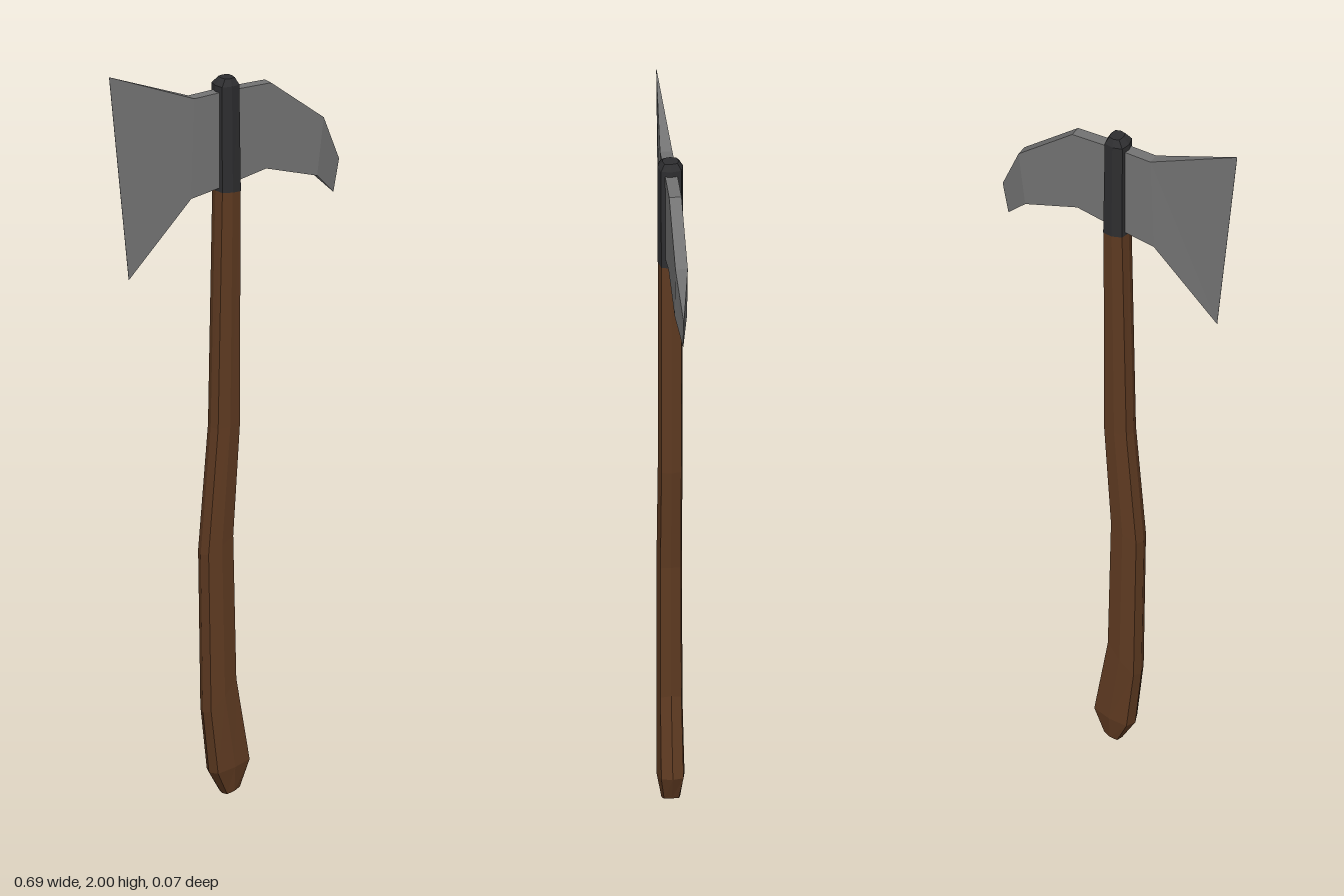
import * as THREE from 'three';

// Skin a row of cross-section rings (counter-clockwise about the travel direction) and cap both ends.
function loft(rings) {
  const pos = [];
  const tri = (a, b, c) => pos.push(...a, ...b, ...c);
  const n = rings[0].length;
  for (let i = 0; i < rings.length - 1; i++) {
    for (let j = 0; j < n; j++) {
      const k = (j + 1) % n;
      const [a, b, c, d] = [rings[i][j], rings[i][k], rings[i + 1][k], rings[i + 1][j]];
      tri(a, b, c);
      tri(a, c, d);
    }
  }
  const first = rings[0], last = rings[rings.length - 1];
  for (let j = 1; j < n - 1; j++) {
    tri(first[0], first[j + 1], first[j]);
    tri(last[0], last[j], last[j + 1]);
  }
  const geometry = new THREE.BufferGeometry();
  geometry.setAttribute('position', new THREE.Float32BufferAttribute(pos, 3));
  geometry.computeVertexNormals();
  return geometry;
}

// Eight-sided section between a left and a right point, with half depth d.
function shaftRing([xl, yl, xr, yr, d]) {
  const outline = [[0, 1], [0.82, 0.8], [1, 0], [0.82, -0.8], [0, -1], [-0.82, -0.8], [-1, 0], [-0.82, 0.8]];
  return outline.map(([u, w]) => {
    const t = (u + 1) / 2;
    return [xl + (xr - xl) * t, yl + (yr - yl) * t, w * d];
  });
}

// Rectangular section between a top and a bottom point, with half thickness t.
function bladeRing([xt, yt, xb, yb, t]) {
  return [[xt, yt, -t], [xt, yt, t], [xb, yb, t], [xb, yb, -t]];
}

export function createModel() {
  const group = new THREE.Group();
  group.name = 'axe';
  const material = (name, color) => {
    const m = new THREE.MeshStandardMaterial({ color, flatShading: true });
    m.name = name;
    return m;
  };
  const add = (name, geometry, mat) => {
    const mesh = new THREE.Mesh(geometry, mat);
    mesh.name = name;
    group.add(mesh);
  };

  // Curved wooden handle with a flared butt
  add('handle', loft([
    [-0.008, 0.003, 0.038, 0.02, 0.024],
    [-0.047, 0.065, 0.068, 0.095, 0.036],
    [-0.065, 0.23, 0.027, 0.325, 0.034],
    [-0.072, 0.66, 0.018, 0.71, 0.033],
    [-0.042, 1.0, 0.038, 1.01, 0.032],
    [-0.028, 1.64, 0.038, 1.635, 0.032],
  ].map(shaftRing)), material('brown wood', 0x5e3a21));

  // Dark collar over the top of the handle
  add('collar', loft([
    [-0.029, 1.64, 0.039, 1.635, 0.033],
    [-0.029, 1.925, 0.034, 1.925, 0.033],
    [-0.012, 1.943, 0.024, 1.943, 0.021],
  ].map(shaftRing)), material('dark iron', 0x2e2e30));

  // Flaring blade, passing through the collar into a hooked rear spike
  add('axeHead', loft([
    [-0.347, 2.0, -0.288, 1.44, 0.0005],
    [-0.1, 1.905, -0.11, 1.635, 0.016],
    [0, 1.91, 0, 1.655, 0.016],
    [0.13, 1.91, 0.115, 1.68, 0.016],
    [0.288, 1.79, 0.268, 1.635, 0.016],
    [0.343, 1.665, 0.326, 1.577, 0.0005],
  ].map(bladeRing)), material('grey steel', 0x737373));

  return group;
}
